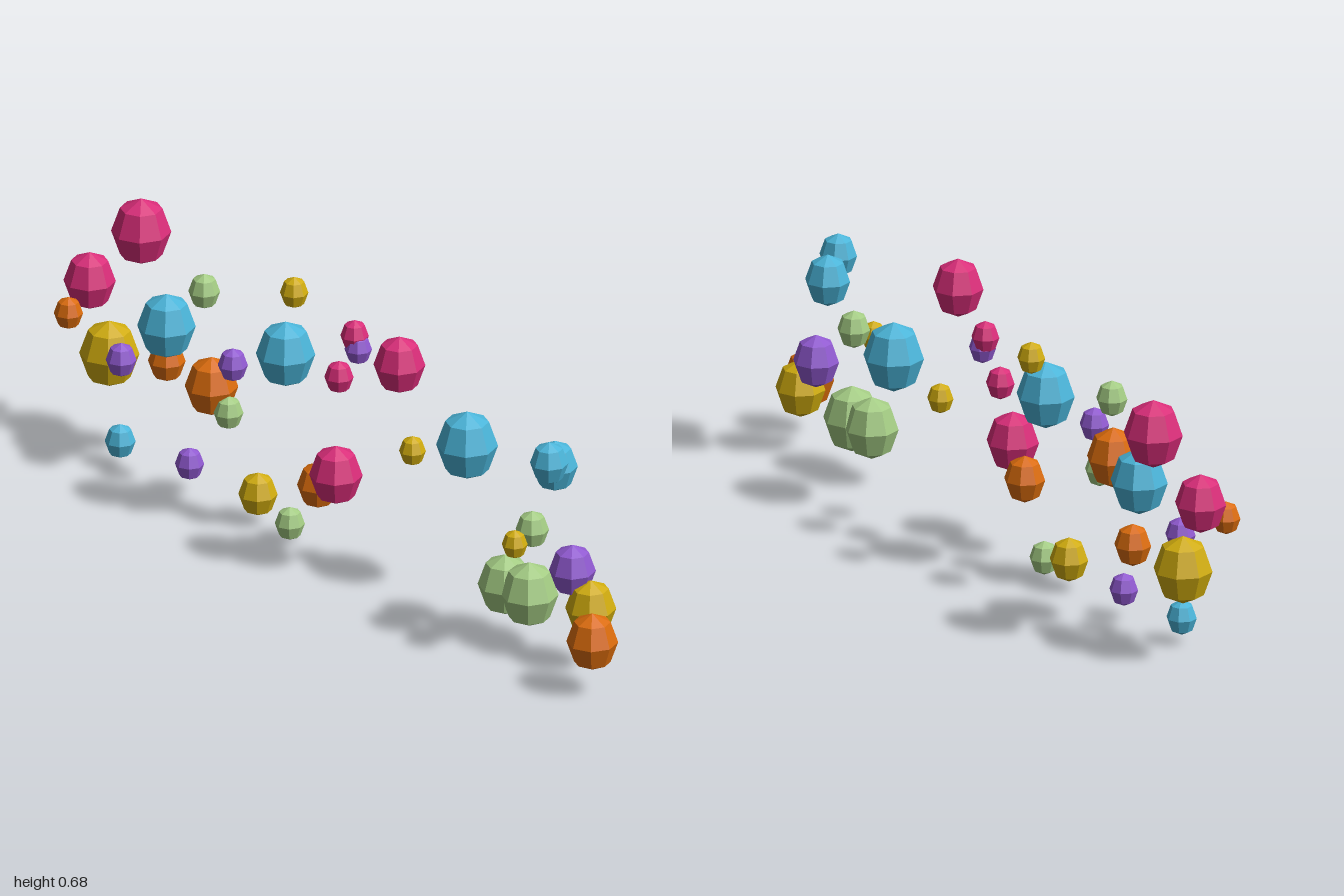
import * as THREE from 'three';

// Balloons grouped by colour: [x, y, z, radius]
const balloonSets = [
  { name: 'pink', color: 0xd92d79, balloons: [
    [-0.938, 0.42, -0.01, 0.0625], [-0.82, 0.572, -0.069, 0.072], [-0.04, 0.572, -0.05, 0.034],
    [-0.07, 0.46, -0.027, 0.035], [0.023, 0.264, 0.067, 0.064], [0.207, 0.605, 0.029, 0.062],
  ] },
  { name: 'orange', color: 0xdb6c0c, balloons: [
    [-0.925, 0.364, 0.07, 0.035], [-0.73, 0.262, -0.07, 0.045], [-0.405, 0.354, 0.08, 0.064],
    [-0.065, 0.2, 0.045, 0.05], [0.937, 0.141, 0.069, 0.062],
  ] },
  { name: 'yellow', color: 0xd0ac0e, balloons: [
    [-0.888, 0.24, -0.028, 0.072], [-0.315, 0.08, 0.012, 0.047], [-0.278, 0.597, -0.071, 0.034],
    [0.177, 0.347, -0.04, 0.032], [0.69, 0.32, 0.095, 0.031], [0.832, 0.165, -0.021, 0.061],
  ] },
  { name: 'green', color: 0xa3cb83, balloons: [
    [-0.505, 0.548, 0.013, 0.038], [-0.195, 0.046, 0.018, 0.036], [-0.345, 0.305, 0.08, 0.036],
    [0.56, 0.143, 0.008, 0.066], [0.64, 0.143, 0.003, 0.07], [0.695, 0.345, 0.043, 0.04],
  ] },
  { name: 'blue', color: 0x4ab4d8, balloons: [
    [-0.668, 0.393, -0.013, 0.07], [-0.774, 0.07, 0.04, 0.037], [-0.23, 0.474, 0, 0.071],
    [0.338, 0.408, -0.07, 0.074], [0.69, 0.486, -0.034, 0.055], [0.733, 0.526, 0.023, 0.046],
  ] },
  { name: 'purple', color: 0x9059d0, balloons: [
    [-0.775, 0.282, 0.036, 0.037], [-0.555, 0.078, 0.015, 0.035], [-0.348, 0.424, 0.063, 0.036],
    [-0.027, 0.541, -0.05, 0.033], [0.778, 0.249, -0.011, 0.056],
  ] },
];

export function createModel() {
  const model = new THREE.Group();
  model.name = 'balloonCluster';

  // Faceted, upright egg shape shared by all balloons
  const shape = new THREE.SphereGeometry(1, 8, 4).toNonIndexed();
  shape.scale(1, 1.19, 1);
  shape.computeVertexNormals();

  for (const { name, color, balloons } of balloonSets) {
    const material = new THREE.MeshStandardMaterial({ color, flatShading: true });
    material.name = name;
    const set = new THREE.Group();
    set.name = `${name}Balloons`;
    balloons.forEach(([x, y, z, radius], i) => {
      const balloon = new THREE.Mesh(shape, material);
      balloon.name = `${name}Balloon${i + 1}`;
      balloon.position.set(x, y, z);
      balloon.scale.setScalar(radius);
      set.add(balloon);
    });
    model.add(set);
  }
  return model;
}
